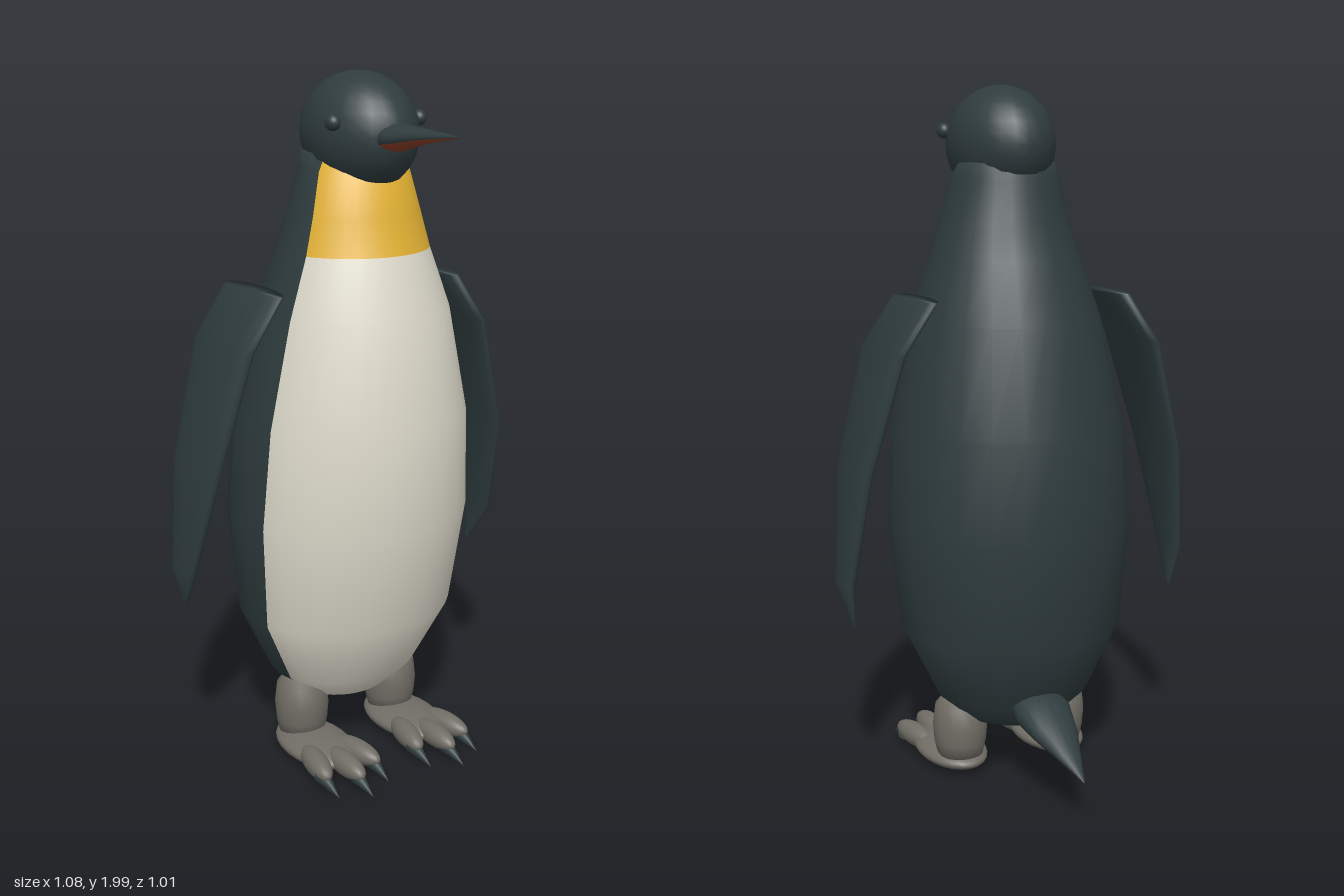
import * as THREE from 'three';

function mat(name, color) {
  const m = new THREE.MeshStandardMaterial({ color });
  m.name = name;
  return m;
}

// Skin closed rings of equal length; pick(i, j) gives the material index of each quad.
function loft(rings, pick = () => 0) {
  const n = rings[0].length, last = rings.length - 1;
  const pos = rings.flat(2);
  const parts = [];
  const add = (g, ...ids) => (parts[g] ??= []).push(...ids);
  for (let i = 0; i < last; i++) {
    for (let j = 0; j < n; j++) {
      const k = (j + 1) % n;
      const a = i * n + j, b = i * n + k, c = a + n, d = b + n;
      add(pick(i, j), a, c, b, b, c, d);
    }
  }
  // end caps
  for (const [r, flip] of [[0, false], [last, true]]) {
    const c = pos.length / 3;
    for (let x = 0; x < 3; x++) pos.push(rings[r].reduce((s, p) => s + p[x], 0) / n);
    for (let j = 0; j < n; j++) {
      const a = r * n + j, b = r * n + (j + 1) % n;
      if (flip) add(0, c, b, a);
      else add(0, c, a, b);
    }
  }
  const geo = new THREE.BufferGeometry();
  geo.setAttribute('position', new THREE.Float32BufferAttribute(pos, 3));
  geo.setIndex(parts.flat());
  let start = 0;
  parts.forEach((p, g) => { geo.addGroup(start, p.length, g); start += p.length; });
  geo.computeVertexNormals();
  return geo;
}

// Elliptical ring lying across the z axis
function zRing(z, y, w, up, down = up, n = 16) {
  return Array.from({ length: n }, (_, j) => {
    const a = (j / n) * Math.PI * 2, s = Math.sin(a);
    return [w * Math.cos(a), y - s * (s > 0 ? down : up), z];
  });
}

export function createModel() {
  const dark = mat('dark plumage', 0x2f3c3e);
  const cream = mat('cream belly', 0xdfdccd);
  const yellow = mat('yellow throat', 0xe3b234);
  const grey = mat('grey skin', 0x706d65);
  const red = mat('red mouth', 0x8f3f28);

  const model = new THREE.Group();
  const put = (name, geo, material, parent = model) => {
    const m = new THREE.Mesh(geo, material);
    m.name = name;
    parent.add(m);
    return m;
  };
  const ball = (name, material, p, s, parent) => {
    const m = put(name, new THREE.SphereGeometry(1, 24, 16), material, parent);
    m.position.set(...p);
    m.scale.set(...s);
    return m;
  };

  // Body: height, half width, front z, back z, z where the belly colour starts
  const rows = [
    [0.15, 0.07, 0.04, -0.10, 0.0],
    [0.175, 0.14, 0.09, -0.15, 0.01],
    [0.25, 0.228, 0.165, -0.22, 0.03],
    [0.45, 0.325, 0.275, -0.31, 0.062],
    [0.76, 0.355, 0.337, -0.342, 0.095],
    [1.05, 0.336, 0.349, -0.325, 0.112],
    [1.35, 0.275, 0.302, -0.25, 0.118],
    [1.52, 0.218, 0.238, -0.185, 0.108],
    [1.62, 0.188, 0.213, -0.147, 0.1],
    [1.74, 0.156, 0.18, -0.12, 0.085],
    [1.785, 0.14, 0.13, -0.108, 0.075],
    [1.81, 0.07, 0.06, -0.06, 0.03],
  ];
  const half = 14;
  const bodyRings = rows.map(([y, w, zf, zb, split]) => {
    const zc = (zf + zb) / 2, d = (zf - zb) / 2;
    const a0 = Math.asin((split - zc) / d);
    return Array.from({ length: half * 2 }, (_, j) => {
      const a = j < half
        ? a0 + (Math.PI - 2 * a0) * (j / half)
        : Math.PI - a0 + (Math.PI + 2 * a0) * ((j - half) / half);
      return [w * Math.cos(a), y, zc + d * Math.sin(a)];
    });
  });
  put('body', loft(bodyRings, (i, j) => (j >= half ? 0 : i < 7 ? 1 : 2)), [dark, cream, yellow]);

  // Head, eyes and beak
  ball('head', dark, [0, 1.835, 0.058], [0.146, 0.165, 0.2]);
  for (const s of [1, -1]) ball(s > 0 ? 'leftEye' : 'rightEye', dark, [s * 0.138, 1.873, 0.143], [0.02, 0.022, 0.024]);
  put('beak', loft([
    zRing(0.18, 1.83, 0.075, 0.05, 0.045),
    zRing(0.26, 1.835, 0.057, 0.037, 0.034),
    zRing(0.36, 1.847, 0.03, 0.021, 0.019),
    zRing(0.505, 1.858, 0.002, 0.002),
  ], (i, j) => (j > 0 && j < 7 ? 1 : 0)), [dark, red]);

  // Tail
  put('tail', loft([
    zRing(-0.505, 0.137, 0.002, 0.002),
    zRing(-0.42, 0.175, 0.033, 0.02),
    zRing(-0.33, 0.212, 0.066, 0.04),
    zRing(-0.25, 0.24, 0.085, 0.053),
    zRing(-0.14, 0.27, 0.075, 0.05),
  ]), dark);

  // Flippers: height, inner x, outer x, front z, back z
  const wing = [
    [0.52, 0.499, 0.508, -0.062, -0.078],
    [0.64, 0.495, 0.54, 0.02, -0.108],
    [0.95, 0.45, 0.506, 0.108, -0.155],
    [1.28, 0.352, 0.422, 0.134, -0.176],
    [1.42, 0.25, 0.332, 0.125, -0.165],
  ];
  for (const s of [1, -1]) {
    const rings = wing.map(([y, xi, xo, zf, zb]) => Array.from({ length: 16 }, (_, j) => {
      const a = (j / 16) * Math.PI * 2;
      return [s * (xi + xo) / 2 + (xo - xi) / 2 * Math.cos(a), y, (zf + zb) / 2 + (zf - zb) / 2 * Math.sin(a)];
    }));
    put(s > 0 ? 'leftFlipper' : 'rightFlipper', loft(rings), dark);
  }

  // Legs and feet
  const legProfile = [[0, 0.04], [0.066, 0.05], [0.077, 0.1], [0.081, 0.15], [0.074, 0.21], [0.05, 0.24], [0, 0.25]]
    .map(([r, y]) => new THREE.Vector2(r, y));
  for (const s of [1, -1]) {
    const leg = new THREE.Group();
    leg.name = s > 0 ? 'leftLeg' : 'rightLeg';
    leg.position.x = s * 0.16;
    model.add(leg);
    put('shank', new THREE.LatheGeometry(legProfile, 20), grey, leg).position.z = -0.005;
    ball('foot', grey, [0, 0.044, 0.075], [0.1, 0.036, 0.165], leg);
    // toes and claws, fanned out
    for (const [x, z] of [[-0.082, 0.335], [0, 0.382], [0.082, 0.335]]) {
      const turn = x * 2.2;
      const toe = ball('toe', grey, [x * 0.85, 0.05, z - 0.145], [0.034, 0.034, 0.095], leg);
      toe.rotation.y = turn;
      const claw = put('claw', new THREE.ConeGeometry(0.025, 0.1, 12), dark, leg);
      claw.rotation.set(Math.PI / 2 + 0.28, 0, 0);
      claw.position.set(x * 1.03, 0.026, z - 0.046);
    }
  }
  return model;
}
